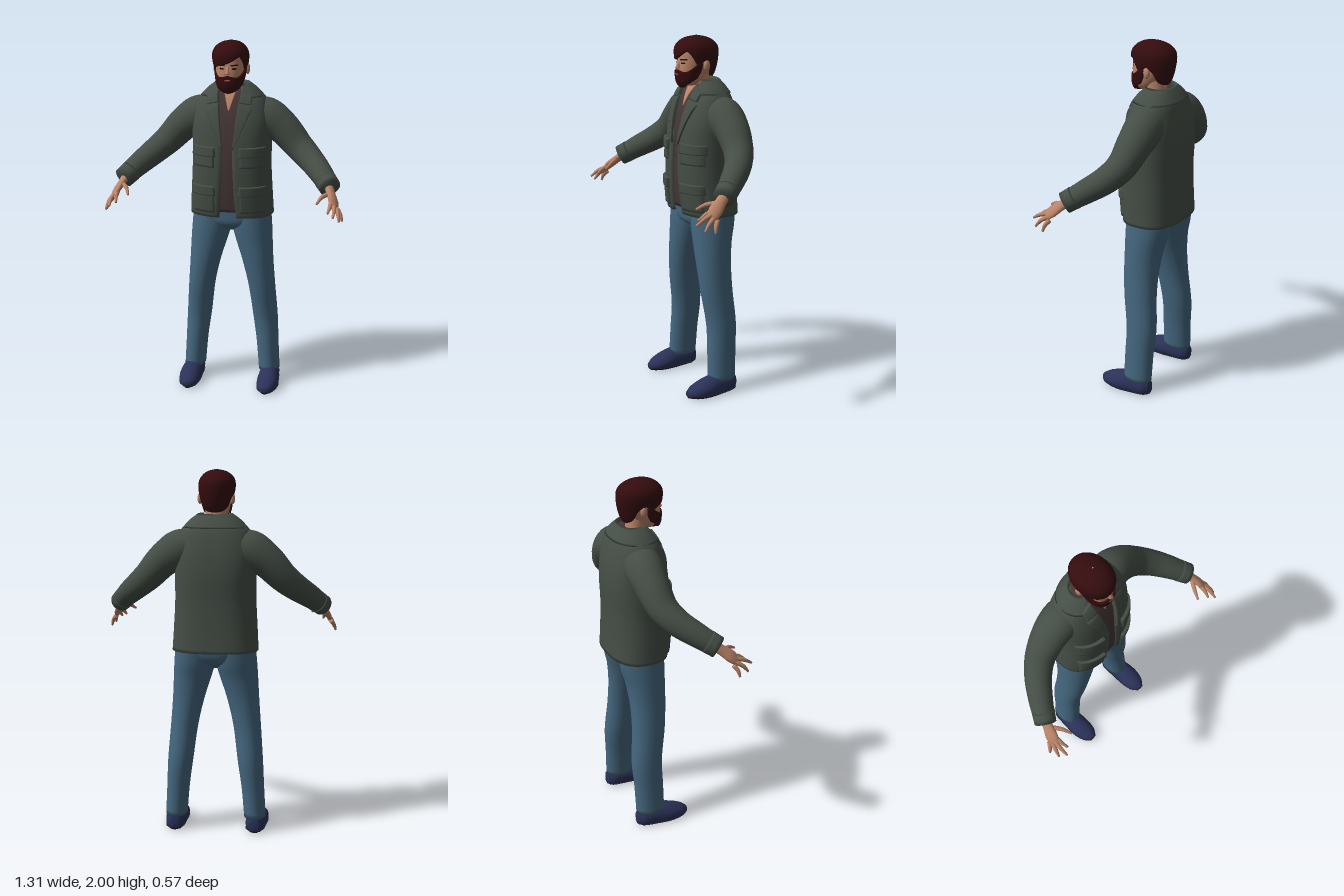
import * as THREE from 'three';
import { mergeVertices } from 'three/addons/utils/BufferGeometryUtils.js';

const mat = (name, color, side = THREE.FrontSide) => {
  const m = new THREE.MeshStandardMaterial({ color, side });
  m.name = name;
  return m;
};
const TAU = Math.PI * 2;

// Smooth lookup in a table of rows [key, value, value, ...]
function tab(T, y) {
  let i = 0;
  while (i < T.length - 2 && y > T[i + 1][0]) i++;
  const a = T[i], b = T[i + 1], p = T[i - 1] || a, q = T[i + 2] || b, h = b[0] - a[0];
  const u = THREE.MathUtils.clamp((y - a[0]) / h, 0, 1), u2 = u * u, u3 = u2 * u;
  return a.slice(1).map((_, j) => {
    const k = j + 1, m0 = (b[k] - p[k]) / (b[0] - p[0]) * h, m1 = (q[k] - a[k]) / (q[0] - a[0]) * h;
    return (2 * u3 - 3 * u2 + 1) * a[k] + (u3 - 2 * u2 + u) * m0 + (3 * u2 - 2 * u3) * b[k] + (u3 - u2) * m1;
  });
}

// Surface patch from fn(i, j) -> [x, y, z]; the front is on the side of du x dv
function grid(nu, nv, fn) {
  const pos = [], idx = [], w = nu + 1;
  for (let j = 0; j <= nv; j++) for (let i = 0; i <= nu; i++) pos.push(...fn(i, j));
  for (let j = 0; j < nv; j++) for (let i = 0; i < nu; i++) {
    const a = j * w + i, c = a + w;
    idx.push(a, a + 1, c + 1, a, c + 1, c);
  }
  let g = new THREE.BufferGeometry();
  g.setAttribute('position', new THREE.Float32BufferAttribute(pos, 3));
  g.setIndex(idx);
  g = mergeVertices(g, 1e-5);
  g.computeVertexNormals();
  return g;
}

// Upright body form from rows [y, centre x, half width, front z, back z]
function form(T, n) {
  const p = v => Math.sign(v) * Math.abs(v) ** (2 / n);
  return {
    n, width: y => tab(T, y)[1],
    at(t, y, off = 0, k = 1) {
      const [cx, rx, zf, zb] = tab(T, y);
      return [cx + (rx + off) * k * p(Math.sin(t)), y, (zf + zb) / 2 + ((zf - zb) / 2 + off) * k * p(Math.cos(t))];
    },
    zAt(x, y) {
      const [cx, rx, zf, zb] = tab(T, y), q = Math.min(1, Math.abs((x - cx) / rx));
      return (zf + zb) / 2 + (zf - zb) / 2 * (1 - q ** n) ** (1 / n);
    },
  };
}
const loft = (f, y0, y1, nv, off = 0) => grid(48, nv + 2, (i, j) => {
  const v = THREE.MathUtils.clamp((j - 1) / nv, 0, 1);
  return f.at(i / 48 * TAU, y0 + (y1 - y0) * v, off, j === 0 || j === nv + 2 ? 0 : 1);
});

// Thin raised panel between corners [bottom inner, bottom outer, top outer, top inner]
function plate(f, s, c, off, base = -0.006) {
  const N = 12;
  return grid(N, N, (i, j) => {
    const edge = i === 0 || j === 0 || i === N || j === N;
    let u = THREE.MathUtils.clamp((i - 1) / (N - 2), 0, 1);
    const v = THREE.MathUtils.clamp((j - 1) / (N - 2), 0, 1);
    if (s < 0) u = 1 - u;
    const mix = k => (c[0][k] * (1 - u) + c[1][k] * u) * (1 - v) + (c[3][k] * (1 - u) + c[2][k] * u) * v;
    const x = s * mix(0), y = mix(1);
    return [x, y, f.zAt(x, y) + (edge ? base : off)];
  });
}

// Capped tube through rows [x, y, z, radius across, radius along ref]; s mirrors it
function sweep(rows, s, ref, nv, nu = 20, lift = y => y) {
  const curve = new THREE.CatmullRomCurve3(rows.map(r => new THREE.Vector3(r[0] * s, r[1], r[2])));
  const radii = rows.map((r, i) => [i / (rows.length - 1), r[3], r[4]]);
  const R = new THREE.Vector3(ref[0] * s, ref[1], ref[2]);
  return grid(nu, nv + 2, (i, j) => {
    const v = THREE.MathUtils.clamp((j - 1) / nv, 0, 1), k = j === 0 || j === nv + 2 ? 0 : 1;
    const P = curve.getPoint(v), D = curve.getTangent(v), [r1, r2] = tab(radii, v);
    const A = R.clone().cross(D).normalize(), B = D.clone().cross(A), t = i / nu * TAU;
    P.addScaledVector(A, Math.cos(t) * r1 * k).addScaledVector(B, Math.sin(t) * r2 * k);
    return [P.x, lift(P.y), P.z];
  });
}

export function createModel() {
  const model = new THREE.Group();
  model.name = 'beardedMan';
  const skin = mat('skin', 0xb98468), hair = mat('hair', 0x340c0e, THREE.DoubleSide);
  const jacket = mat('jacket', 0x454e46, THREE.DoubleSide), shirt = mat('shirt', 0x463636);
  const denim = mat('denim', 0x45677f), shoe = mat('shoe', 0x2b3259);
  const sole = mat('sole', 0x202228), eye = mat('eye', 0x1c1412), lip = mat('lip', 0x8a5348);
  const add = (name, geo, m) => {
    const mesh = new THREE.Mesh(geo, m);
    mesh.name = name;
    model.add(mesh);
    return mesh;
  };

  // Jacket body, open down the front, with edges turned in
  const torso = form([
    [1.03, 0, 0.235, 0.045, -0.28], [1.15, 0, 0.228, 0.058, -0.275], [1.3, 0, 0.22, 0.063, -0.273],
    [1.45, 0, 0.22, 0.055, -0.278], [1.55, 0, 0.222, 0.04, -0.27], [1.62, 0, 0.21, 0.02, -0.256],
    [1.69, 0, 0.18, -0.01, -0.235], [1.73, 0, 0.13, -0.035, -0.21], [1.755, 0, 0.088, -0.05, -0.188]], 2.5);
  const gap = [[1.03, 0.05], [1.2, 0.037], [1.43, 0.03], [1.55, 0.045], [1.69, 0.062], [1.755, 0.066]];
  add('jacketBody', grid(64, 41, (i, j) => {
    const y = 1.03 + 0.725 * Math.max(0, j - 1) / 40;
    const t0 = Math.asin((tab(gap, y)[0] / torso.width(y)) ** (torso.n / 2));
    const u = THREE.MathUtils.clamp((i - 1) / 62, 0, 1);
    return torso.at(t0 + u * (TAU - 2 * t0), y, i === 0 || i === 64 || j === 0 ? -0.016 : 0);
  }), jacket);
  add('shirt', loft(torso, 1.06, 1.742, 30, -0.014), shirt);
  add('openNeck', plate(torso, 1, [[-0.002, 1.625], [0.002, 1.625], [0.036, 1.735], [-0.036, 1.735]], -0.008, -0.02), skin);

  // Folded collar round the neck
  const collar = form([[1.695, 0, 0.17, 0.0, -0.243], [1.735, 0, 0.132, -0.03, -0.216], [1.768, 0, 0.088, -0.058, -0.19]], 2.3);
  add('collar', grid(40, 10, (i, j) => {
    const t = 0.75 + i / 40 * (TAU - 1.5);
    return j === 10 ? collar.at(t, 1.74, -0.03) : collar.at(t, 1.695 + 0.073 * Math.max(0, j - 1) / 8, j ? 0.005 : -0.012);
  }), jacket);

  // Hips
  const hips = form([[0.93, 0, 0.03, -0.06, -0.16], [0.97, 0, 0.15, 0, -0.225], [1.04, 0, 0.212, 0.012, -0.25], [1.1, 0, 0.21, 0.01, -0.25]], 2.3);
  add('hips', loft(hips, 0.93, 1.1, 14), denim);

  for (const s of [1, -1]) {
    const side = s > 0 ? 'left' : 'right';

    // Lapels and patch pockets
    add(side + 'Lapel', plate(torso, s, [[0.028, 1.42], [0.034, 1.42], [0.128, 1.64], [0.056, 1.675]], 0.01), jacket);
    add(side + 'CollarPoint', plate(torso, s, [[0.058, 1.67], [0.122, 1.66], [0.125, 1.705], [0.064, 1.735]], 0.012), jacket);
    for (const [name, y0, y1] of [['Chest', 1.32, 1.42], ['Hip', 1.06, 1.2]]) {
      add(side + name + 'Pocket', plate(torso, s, [[0.072, y0], [0.2, y0], [0.2, y1], [0.072, y1]], 0.011), jacket);
      add(side + name + 'Flap', plate(torso, s, [[0.066, y1 - 0.04], [0.205, y1 - 0.04], [0.203, y1 + 0.012], [0.068, y1 + 0.012]], 0.018), jacket);
    }

    // Sleeve and cuff
    add(side + 'Sleeve', sweep([
      [0.1, 1.605, -0.13, 0.095, 0.085], [0.19, 1.575, -0.135, 0.103, 0.107], [0.275, 1.522, -0.133, 0.094, 0.094],
      [0.37, 1.425, -0.113, 0.08, 0.08], [0.44, 1.365, -0.065, 0.072, 0.072], [0.51, 1.307, 0.015, 0.064, 0.064],
      [0.565, 1.255, 0.092, 0.055, 0.055]], s, [0, 1, 0], 36, 28), jacket);
    add(side + 'Cuff', sweep([[0.542, 1.277, 0.06, 0.061, 0.061], [0.573, 1.248, 0.103, 0.058, 0.058]], s, [0, 1, 0], 3, 28), jacket);

    // Hand
    const across = [-0.07, 0.07, 0.04];
    add(side + 'Palm', sweep([
      [0.56, 1.258, 0.085, 0.024, 0.028], [0.578, 1.225, 0.128, 0.02, 0.03],
      [0.595, 1.195, 0.165, 0.018, 0.036], [0.608, 1.165, 0.197, 0.012, 0.028]], s, across, 10), skin);
    const fingers = {
      Index: [[0.585, 1.19, 0.185], [0.583, 1.175, 0.222], [0.575, 1.15, 0.258]],
      Middle: [[0.6, 1.178, 0.19], [0.607, 1.162, 0.24], [0.606, 1.135, 0.284]],
      Ring: [[0.613, 1.163, 0.185], [0.627, 1.14, 0.222], [0.635, 1.105, 0.25]],
      Little: [[0.62, 1.15, 0.17], [0.637, 1.125, 0.188], [0.648, 1.092, 0.196]],
      Thumb: [[0.57, 1.225, 0.135], [0.535, 1.215, 0.185], [0.513, 1.19, 0.232]],
    };
    for (const [name, pts] of Object.entries(fingers)) {
      const rows = pts.map((p, i) => [...p, ...Array(2).fill([0.013, 0.011, 0.006][i])]);
      add(side + name + 'Finger', sweep(rows, s, across, 8, 10), skin);
    }

    // Trouser leg
    const leg = form([
      [0.08, s * 0.222, 0.06, -0.033, -0.2], [0.25, s * 0.21, 0.063, -0.036, -0.206], [0.4, s * 0.196, 0.07, -0.038, -0.214],
      [0.6, s * 0.175, 0.076, -0.012, -0.2], [0.75, s * 0.152, 0.088, 0, -0.2], [0.88, s * 0.128, 0.105, 0.005, -0.215],
      [0.96, s * 0.115, 0.113, 0.008, -0.235], [1.08, s * 0.107, 0.11, 0.005, -0.25]], 2.1);
    add(side + 'Leg', loft(leg, 0.08, 1.08, 36), denim);

    // Shoe and sole
    const foot = [
      [0.224, 0.045, -0.2, 0.026, 0.04], [0.225, 0.045, -0.165, 0.05, 0.062], [0.228, 0.045, -0.08, 0.057, 0.07],
      [0.23, 0.036, 0, 0.062, 0.06], [0.227, 0.027, 0.07, 0.05, 0.04], [0.225, 0.022, 0.108, 0.022, 0.02]];
    add(side + 'Shoe', sweep(foot, s, [0, 1, 0], 24, 28, y => Math.max(0.012, y)), shoe);
    add(side + 'Sole', sweep(foot, s, [0, 1, 0], 24, 28, y => THREE.MathUtils.clamp(y, 0, 0.014)), sole);
  }

  // Neck and head
  add('neck', sweep([[0, 1.62, -0.125, 0.06, 0.058], [0, 1.72, -0.1, 0.056, 0.054], [0, 1.82, -0.085, 0.058, 0.06]], 1, [0, 0, 1], 10, 28), skin);
  const head = form([
    [1.735, 0, 0.035, 0, -0.07], [1.76, 0, 0.058, 0.025, -0.1], [1.8, 0, 0.072, 0.035, -0.14], [1.84, 0, 0.08, 0.036, -0.165],
    [1.88, 0, 0.084, 0.032, -0.18], [1.92, 0, 0.083, 0.028, -0.18], [1.96, 0, 0.062, 0, -0.15], [1.98, 0, 0.03, -0.03, -0.11]], 2.2);
  add('head', loft(head, 1.735, 1.98, 24), skin);
  add('nose', sweep([[0, 1.868, 0.028, 0.007, 0.008], [0, 1.845, 0.039, 0.01, 0.01], [0, 1.828, 0.043, 0.014, 0.012]], 1, [0, 0, 1], 8, 14), skin);

  // Hair with a side-swept fringe
  const hairForm = form([
    [1.77, 0, 0.066, 0.02, -0.165], [1.8, 0, 0.08, 0.04, -0.182], [1.85, -0.001, 0.09, 0.044, -0.196], [1.9, -0.003, 0.099, 0.05, -0.202],
    [1.94, -0.004, 0.096, 0.046, -0.198], [1.97, -0.004, 0.077, 0.022, -0.172], [1.99, -0.002, 0.046, -0.015, -0.13], [2, 0, 0.004, -0.07, -0.078]], 2.1);
  const hairline = [
    [-3.15, 1.775], [-2.6, 1.78], [-2.2, 1.8], [-1.9, 1.85], [-1.6, 1.87], [-1.25, 1.845], [-0.9, 1.862], [-0.5, 1.872], [0, 1.885],
    [0.4, 1.905], [0.75, 1.92], [1.0, 1.89], [1.25, 1.845], [1.6, 1.87], [1.9, 1.85], [2.2, 1.8], [2.6, 1.78], [3.15, 1.775]];
  add('hair', grid(72, 25, (i, j) => {
    const t = -Math.PI + i / 72 * TAU, low = tab(hairline, t)[0], v = Math.max(0, j - 1) / 24;
    return hairForm.at(t, low + (2 - low) * Math.sin(v * Math.PI / 2), j ? 0 : -0.02);
  }), hair);

  // Beard and moustache
  const beardForm = form([
    [1.72, 0, 0.035, 0.02, -0.04], [1.74, 0, 0.058, 0.036, -0.075], [1.77, 0, 0.073, 0.045, -0.105],
    [1.81, 0, 0.083, 0.046, -0.145], [1.86, 0, 0.09, 0.044, -0.17]], 2.2);
  const beardTop = [[0, 1.822], [0.45, 1.812], [0.8, 1.815], [1.15, 1.835], [1.4, 1.855], [1.75, 1.855]];
  add('beard', grid(40, 14, (i, j) => {
    const t = -1.7 + i / 40 * 3.4, a = Math.abs(t);
    const low = 1.722 + 0.02 * a * a, high = tab(beardTop, a)[0];
    const y = low + (high - low) * THREE.MathUtils.clamp((j - 1) / 12, 0, 1);
    return beardForm.at(t, y, j === 14 || i === 0 || i === 40 ? -0.016 : 0, j === 0 ? 0.2 : 1);
  }), hair);
  add('mouth', plate(beardForm, 1, [[-0.012, 1.793], [0.012, 1.793], [0.016, 1.8], [-0.016, 1.8]], 0.003), lip);

  // Ears, eyes and brows
  for (const s of [1, -1]) {
    const side = s > 0 ? 'left' : 'right';
    const ear = add(side + 'Ear', new THREE.SphereGeometry(1, 16, 12), skin);
    ear.scale.set(0.014, 0.03, 0.019);
    ear.position.set(s * 0.088, 1.845, -0.088);
    add(side + 'Eye', plate(head, s, [[0.022, 1.853], [0.046, 1.854], [0.044, 1.862], [0.024, 1.862]], 0.002), eye);
    add(side + 'Brow', plate(head, s, [[0.016, 1.872], [0.054, 1.874], [0.052, 1.881], [0.016, 1.879]], 0.005), hair);
  }
  return model;
}
